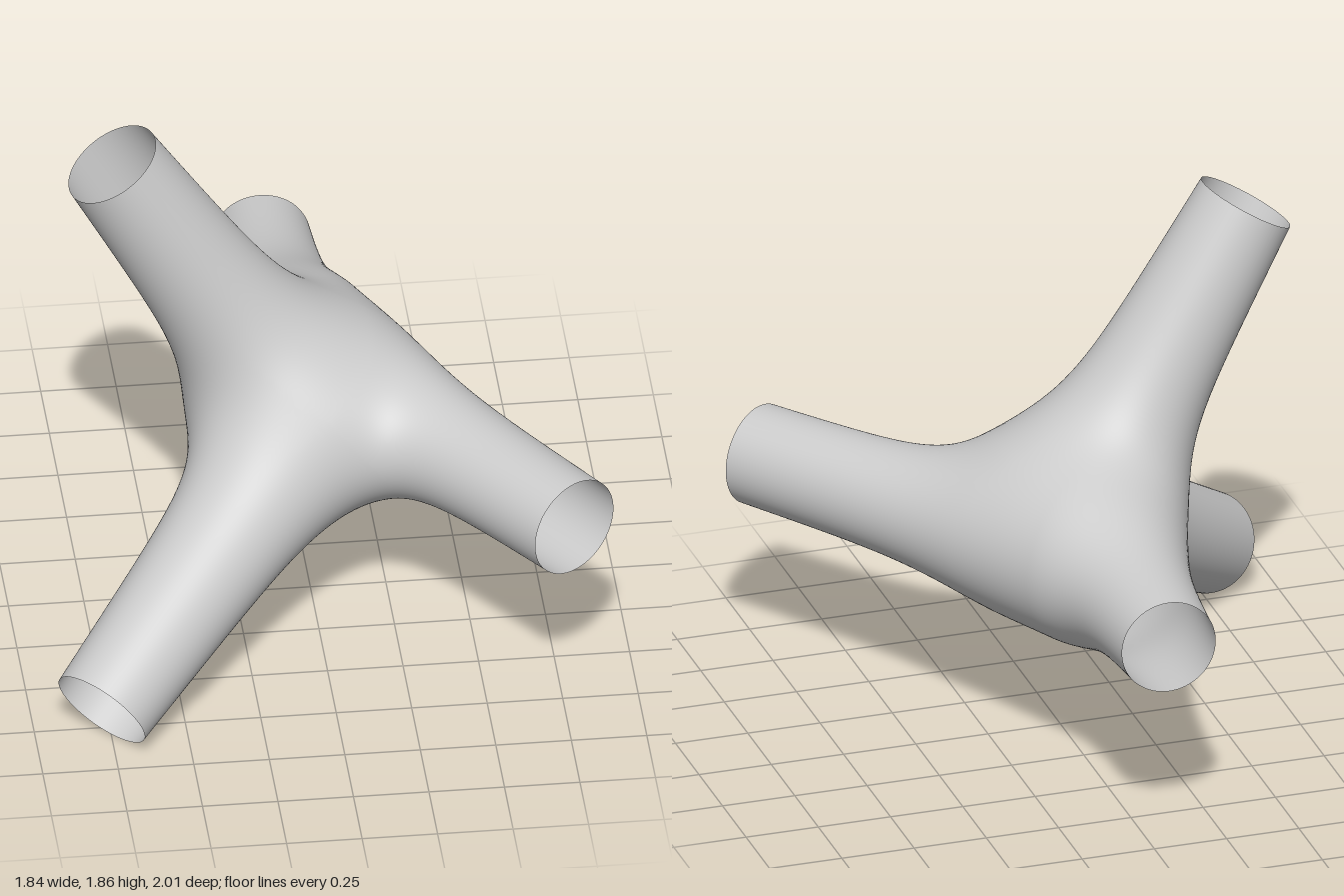
import * as THREE from 'three';

const V = (x, y, z) => new THREE.Vector3(x, y, z);

// Tapered arms: open rim centre and radius, inner base centre and radius
const arms = [
  { name: 'upperArm', rim: V(-0.665, 1.773, 0.073), r: 0.167, base: V(-0.1, 0.85, 0.01), R: 0.22 },
  { name: 'lowerFrontArm', rim: V(-0.79, 0.152, 0.868), r: 0.171, base: V(-0.06, 0.7, 0.16), R: 0.225 },
  { name: 'leftFrontArm', rim: V(0.78, 0.727, 0.825), r: 0.17, base: V(0.03, 0.73, -0.27), R: 0.188 },
  { name: 'backArm', rim: V(-0.05, 0.73, -1), r: 0.161, base: V(-0.065, 0.73, -0.1), R: 0.215 },
];
const HUB = V(0.04, 0.74, -0.05); // a point from which the whole skin is visible
const BLEND = 0.12;
const AROUND = 96, ALONG = 56;

for (const a of arms) {
  a.span = a.rim.clone().sub(a.base);
  a.dir = a.rim.clone().sub(HUB).normalize();
}

// Soft union of the tapered arms: negative inside, positive outside
const q = V();
function field(p) {
  let sum = 0;
  for (const a of arms) {
    const h = THREE.MathUtils.clamp(q.copy(p).sub(a.base).dot(a.span) / a.span.lengthSq(), 0, 1.3);
    const d = q.copy(a.base).addScaledVector(a.span, h).distanceTo(p) - (a.R + (a.r - a.R) * h);
    sum += Math.exp(-d / BLEND);
  }
  return -BLEND * Math.log(sum);
}

function normalAt(p) {
  const e = 0.002, n = V();
  for (const k of ['x', 'y', 'z']) {
    const s = p.clone();
    s[k] += e;
    n[k] = field(s);
    s[k] -= 2 * e;
    n[k] -= field(s);
  }
  return n.normalize();
}

// Where a ray from the hub meets the skin
function skinPoint(dir) {
  let lo = 0, hi = 2.2;
  const p = V();
  for (let i = 0; i < 30; i++) {
    const mid = (lo + hi) / 2;
    p.copy(HUB).addScaledVector(dir, mid);
    if (field(p) < 0) lo = mid; else hi = mid;
  }
  return p;
}

// Each arm runs from its rim in to the seam halfway to its neighbours
function armGeometry(arm) {
  const axis = arm.span.clone().normalize();
  const u = V(0, 1, 0).cross(axis).normalize();
  const v = axis.clone().cross(u);
  const pos = [], nor = [], idx = [];
  for (let i = 0; i <= AROUND; i++) {
    const f = (i / AROUND) * Math.PI * 2;
    const rim = arm.rim.clone().addScaledVector(u, arm.r * Math.cos(f)).addScaledVector(v, arm.r * Math.sin(f));
    const toRim = rim.clone().sub(HUB).normalize();
    const start = toRim.angleTo(arm.dir);
    const side = toRim.addScaledVector(arm.dir, -toRim.dot(arm.dir)).normalize();
    let end = Math.PI;
    for (const b of arms) {
      if (b !== arm) end = Math.min(end, Math.atan2(1 - arm.dir.dot(b.dir), side.dot(b.dir)));
    }
    end += 0.025; // slight overlap closes the seams
    for (let j = 0; j <= ALONG; j++) {
      // even steps of cotangent give even steps along the arm
      const t = j / ALONG;
      const cot = (1 - t) / Math.tan(start) + t / Math.tan(end);
      const angle = Math.atan2(1, cot);
      const dir = arm.dir.clone().multiplyScalar(Math.cos(angle)).addScaledVector(side, Math.sin(angle));
      const p = j === 0 ? rim : skinPoint(dir);
      pos.push(p.x, p.y, p.z);
      const n = normalAt(p);
      nor.push(n.x, n.y, n.z);
      if (i < AROUND && j < ALONG) {
        const a = i * (ALONG + 1) + j, b = a + ALONG + 1;
        idx.push(a, a + 1, b, b, a + 1, b + 1);
      }
    }
  }
  const g = new THREE.BufferGeometry();
  g.setAttribute('position', new THREE.Float32BufferAttribute(pos, 3));
  g.setAttribute('normal', new THREE.Float32BufferAttribute(nor, 3));
  g.setIndex(idx);
  return g;
}

export function createModel() {
  const group = new THREE.Group();
  group.name = 'fourWayTubeJunction';
  const material = new THREE.MeshStandardMaterial({ color: 0xcccccc, side: THREE.DoubleSide });
  for (const arm of arms) {
    const mesh = new THREE.Mesh(armGeometry(arm), material);
    mesh.name = arm.name;
    group.add(mesh);
  }
  return group;
}
